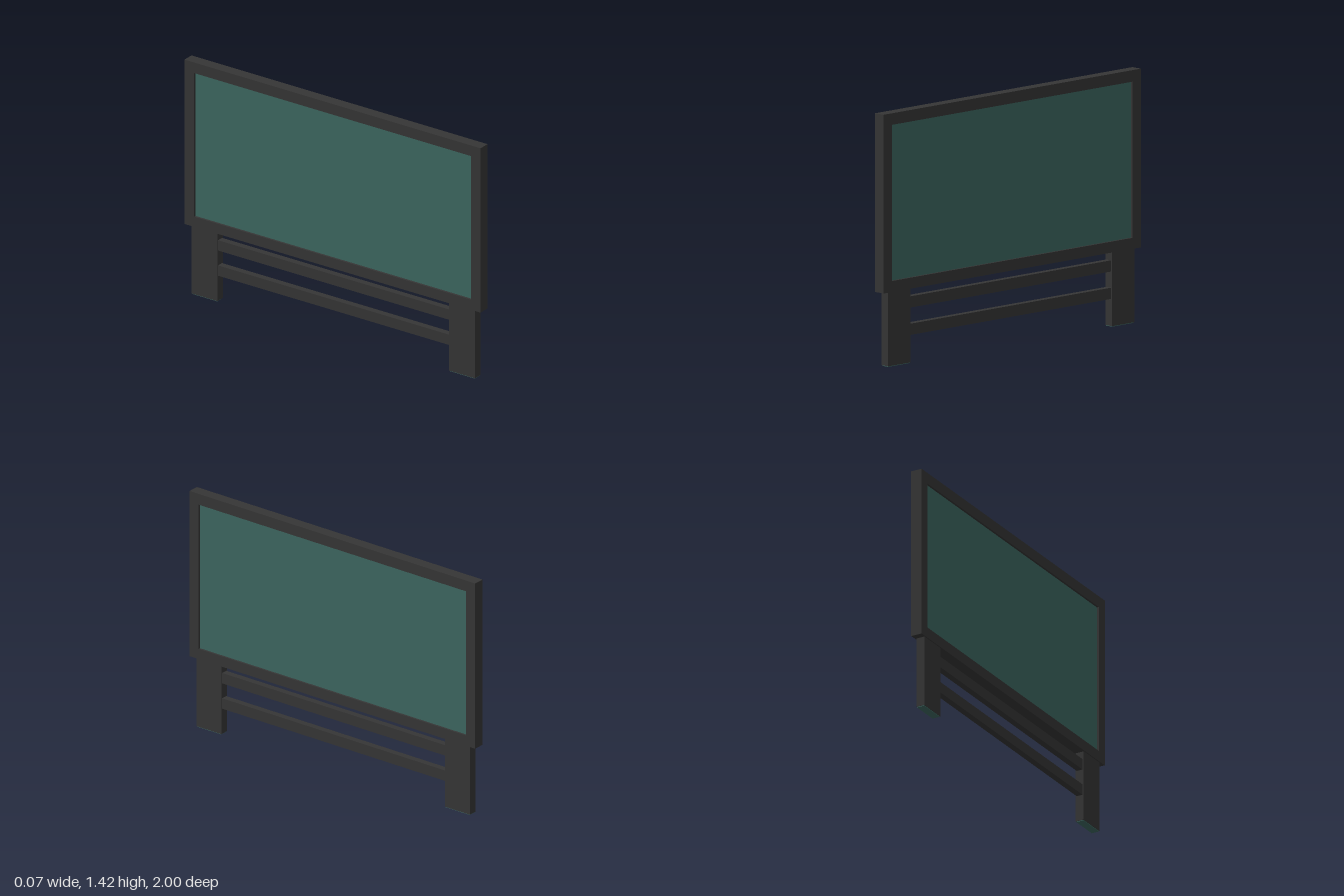
import * as THREE from 'three';

export function createModel() {
  const model = new THREE.Group();
  const charcoal = new THREE.MeshStandardMaterial({ color: 0x353535 });
  charcoal.name = 'charcoal';
  const green = new THREE.MeshStandardMaterial({ color: 0x3c665f });
  green.name = 'boardGreen';

  function add(name, geometry, material, x, y, z) {
    const mesh = new THREE.Mesh(geometry, material);
    mesh.name = name;
    mesh.position.set(x, y, z);
    model.add(mesh);
    return mesh;
  }
  const box = (name, material, [w, h, d], [x, y, z]) =>
    add(name, new THREE.BoxGeometry(w, h, d), material, x, y, z);

  // Frame: a rectangle with a window, extruded through x
  const depth = 0.067, bottom = 0.42, top = 1.425;
  const outline = new THREE.Shape([
    new THREE.Vector2(-1, bottom), new THREE.Vector2(1, bottom),
    new THREE.Vector2(1, top), new THREE.Vector2(-1, top),
  ]);
  outline.holes.push(new THREE.Path([
    new THREE.Vector2(-0.935, 0.482), new THREE.Vector2(-0.935, 1.36),
    new THREE.Vector2(0.935, 1.36), new THREE.Vector2(0.935, 0.482),
  ]));
  const frame = new THREE.ExtrudeGeometry(outline, { depth, bevelEnabled: false });
  frame.translate(0, 0, -depth / 2).rotateY(Math.PI / 2);
  add('frame', frame, charcoal, 0, 0, 0);

  // Writing panel, recessed on both sides
  box('panel', green, [0.042, 0.878, 1.87], [0, 0.921, 0]);

  // Legs with thin soles
  for (const side of [1, -1]) {
    box('leg', charcoal, [0.052, 0.416, 0.174], [0, 0.212, side * 0.87]);
    box('sole', green, [0.046, 0.004, 0.168], [0, 0.002, side * 0.87]);
  }

  // Cross rails between the legs
  for (const y of [0.342, 0.188]) {
    box('rail', charcoal, [0.038, 0.063, 1.566], [0, y, 0]);
  }
  return model;
}
